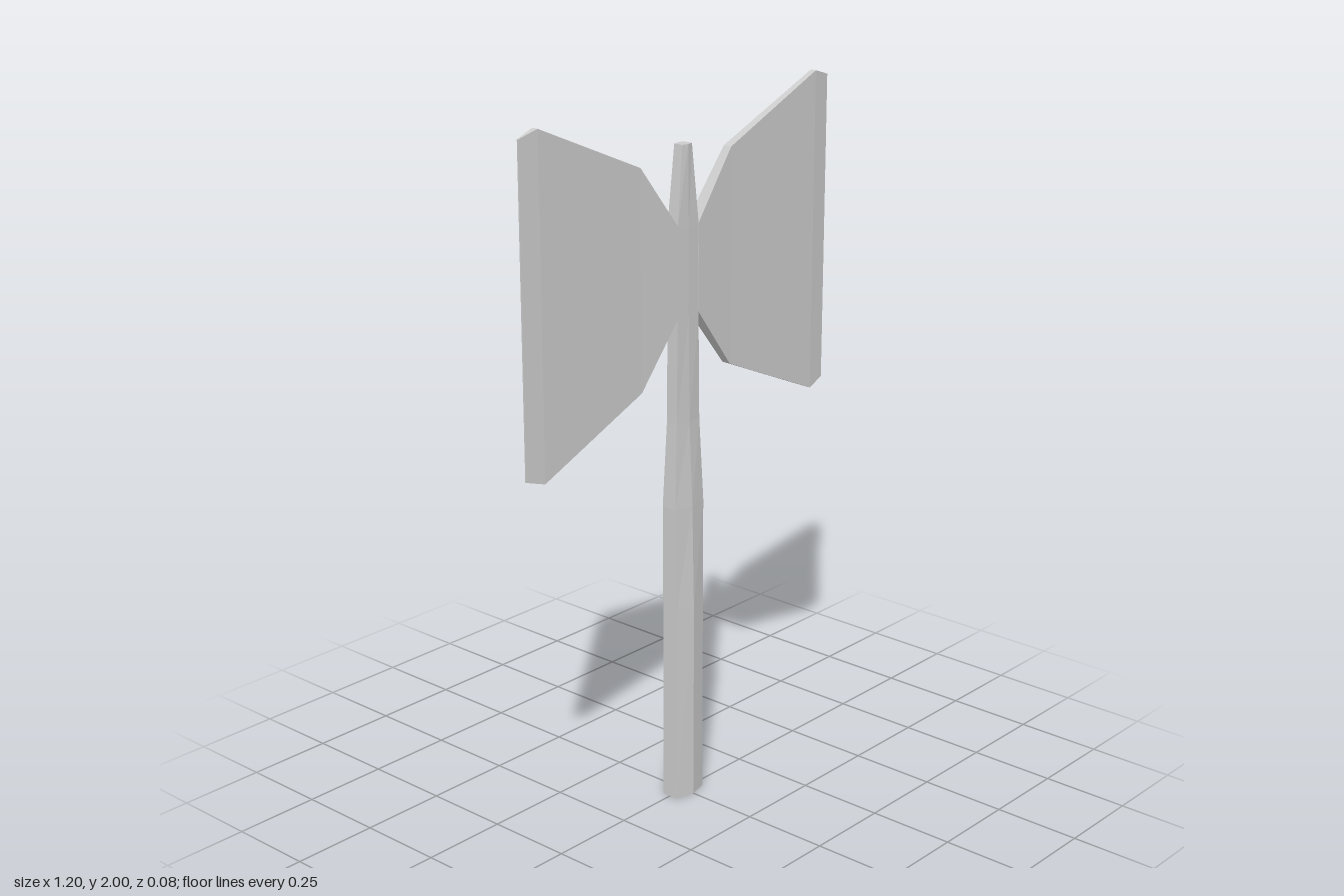
import * as THREE from 'three';

const material = new THREE.MeshStandardMaterial({ color: 0xcccccc, flatShading: true });

// Skins a list of equal-length rings and caps both ends.
// Rings run counter-clockwise as seen from the far end of the loft.
function loft(name, rings) {
  const n = rings[0].length;
  const index = [];
  for (let r = 0; r < rings.length - 1; r++) {
    for (let i = 0; i < n; i++) {
      const a = r * n + i, b = r * n + (i + 1) % n;
      index.push(a, b, b + n, a, b + n, a + n);
    }
  }
  const last = (rings.length - 1) * n;
  for (let i = 1; i < n - 1; i++) {
    index.push(0, i + 1, i, last, last + i, last + i + 1);
  }
  const indexed = new THREE.BufferGeometry();
  indexed.setAttribute('position', new THREE.Float32BufferAttribute(rings.flat(2), 3));
  indexed.setIndex(index);
  const geometry = indexed.toNonIndexed();
  geometry.computeVertexNormals();
  const mesh = new THREE.Mesh(geometry, material);
  mesh.name = name;
  return mesh;
}

// Six-sided handle section: ridges at front and back, flats at the sides
const handleRing = ([y, w, ridge, side]) => [
  [0, y, ridge], [w, y, side], [w, y, -side],
  [0, y, -ridge], [-w, y, -side], [-w, y, side],
];

// Rectangular blade section across x
const bladeRing = ([x, low, high, t]) => [
  [x, low, t], [x, low, -t], [x, high, -t], [x, high, t],
];

export function createModel() {
  const group = new THREE.Group();
  group.name = 'doubleAxe';

  // Handle: height, half width, ridge depth, side depth
  group.add(loft('handle', [
    [0, 0.056, 0.04, 0.025],
    [0.58, 0.055, 0.04, 0.025],
    [0.88, 0.058, 0.034, 0.023],
    [1.12, 0.046, 0.023, 0.018],
    [1.42, 0.042, 0.02, 0.018],
    [1.66, 0.042, 0.02, 0.018],
    [1.88, 0.019, 0.018, 0.014],
  ].map(handleRing)));

  // Twin blades: distance from centre, lower edge, upper edge, half thickness
  const profile = [
    [0.04, 1.42, 1.665, 0.02],
    [0.178, 1.242, 1.845, 0.013],
    [0.54, 1.085, 2.0, 0.009],
    [0.6, 1.104, 1.982, 0.002],
  ];
  const mirrored = profile.map(([x, ...rest]) => [-x, ...rest]).reverse();
  group.add(loft('leftBlade', profile.map(bladeRing)));
  group.add(loft('rightBlade', mirrored.map(bladeRing)));

  return group;
}
